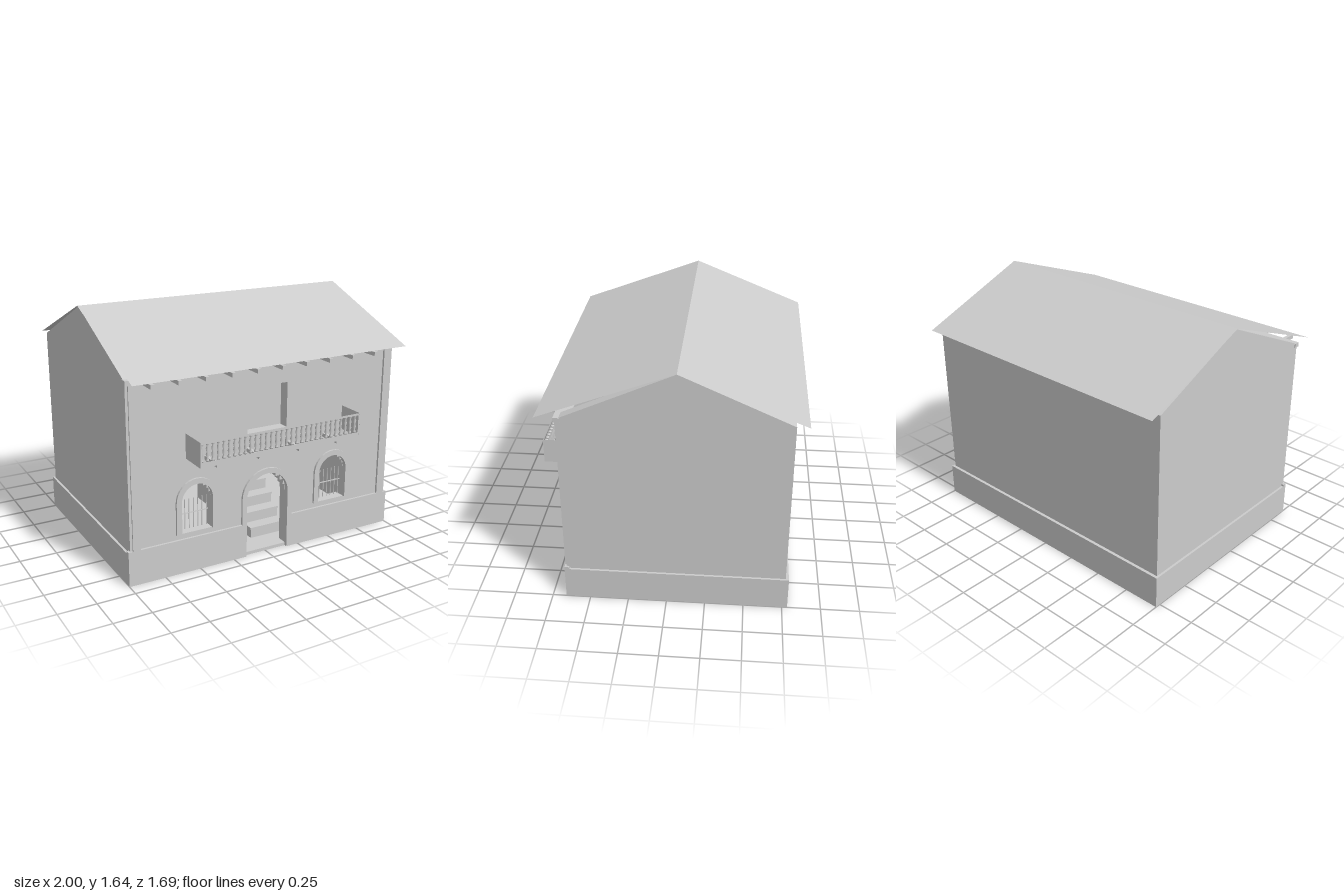
import * as THREE from 'three';

export function createModel() {
  const house = new THREE.Group();
  house.name = 'house';
  const plaster = new THREE.MeshStandardMaterial({ color: 0xcccccc });
  plaster.name = 'plainGrey';
  const sheet = new THREE.MeshStandardMaterial({ color: 0xcccccc, side: THREE.DoubleSide });
  sheet.name = 'plainGreySheet';

  const add = (name, geo, mat = plaster) => {
    const mesh = new THREE.Mesh(geo, mat);
    mesh.name = name;
    house.add(mesh);
    return mesh;
  };
  // Box given by its limits on each axis
  const box = (name, x0, x1, y0, y1, z0, z1) =>
    add(name, new THREE.BoxGeometry(x1 - x0, y1 - y0, z1 - z0)
      .translate((x0 + x1) / 2, (y0 + y1) / 2, (z0 + z1) / 2));
  const extrude = (name, shape, z0, z1) =>
    add(name, new THREE.ExtrudeGeometry(shape, { depth: z1 - z0, bevelEnabled: false }).translate(0, 0, z0));
  const v = (x, y) => new THREE.Vector2(x, y);

  // Arched outline from bottom left, over the top, to bottom right
  const arch = (cx, r, y0, spring) => {
    const pts = [v(cx - r, y0)];
    for (let i = 0; i <= 16; i++) {
      const a = Math.PI * (1 - i / 16);
      pts.push(v(cx + r * Math.cos(a), spring + r * Math.sin(a)));
    }
    pts.push(v(cx + r, y0));
    return pts;
  };
  // The same outline with a stepped head
  const steppedArch = (cx, r, y0, spring) => {
    const n = 6, right = [[r, y0], [r, spring]];
    for (let k = 1; k < n; k++) {
      const a = (Math.PI / 2) * k / n, low = (Math.PI / 2) * (k - 1) / n;
      right.push([r * Math.cos(a), spring + r * Math.sin(low)], [r * Math.cos(a), spring + r * Math.sin(a)]);
    }
    return [...right.map(([x, y]) => v(cx - x, y)), ...right.reverse().map(([x, y]) => v(cx + x, y))];
  };
  const rect = (x0, x1, y0, y1) => [v(x0, y0), v(x0, y1), v(x1, y1), v(x1, y0)];

  // Front wall: plain layer with round heads, inner layer with stepped heads
  const wall = (name, w, head, z0, z1) => {
    const shape = new THREE.Shape([v(-w, 0), ...head(0, 0.157, 0, 0.41), v(w, 0), v(w, 1.33), v(-w, 1.33)]);
    for (const cx of [-0.52, 0.52]) shape.holes.push(new THREE.Path(head(cx, 0.11, 0.27, 0.487)));
    shape.holes.push(new THREE.Path(rect(-0.15, 0.145, 0.86, 1.165)));
    extrude(name, shape, z0, z1);
  };
  wall('frontWall', 0.92, arch, 0.63, 0.645);
  wall('frontWallInner', 0.91, steppedArch, 0.565, 0.63);
  box('balconyDoorPanel', -0.18, 0.18, 0.83, 1.2, 0.55, 0.57);

  // Gable walls and back wall
  for (const s of [-1, 1]) {
    const shape = new THREE.Shape([v(0.63, 0), v(0.63, 1.33), v(-0.07, 1.64), v(-0.765, 1.33), v(-0.765, 0)]);
    const geo = new THREE.ExtrudeGeometry(shape, { depth: 0.07, bevelEnabled: false }).rotateY(-Math.PI / 2);
    add('gableWall', geo.translate(s > 0 ? 0.985 : -0.915, 0, 0));
  }
  box('backWall', -0.915, 0.915, 0, 1.33, -0.765, -0.695);
  const floor = new THREE.PlaneGeometry(1.83, 1.26).rotateX(-Math.PI / 2).translate(0, 0.012, -0.065);
  add('floor', floor, sheet);

  // Roof: two thin slopes
  const slope = (zEave) => {
    const geo = new THREE.PlaneGeometry(1.985, 1);
    const p = geo.attributes.position;
    for (let i = 0; i < p.count; i++) {
      const ridge = p.getY(i) > 0;
      // mirrored in x on the back so that both slopes face up
      p.setXYZ(i, p.getX(i) * Math.sign(zEave), ridge ? 1.645 : 1.33, ridge ? -0.07 : zEave);
    }
    geo.computeVertexNormals();
    add('roofSlope', geo, sheet);
  };
  slope(0.78);
  slope(-0.845);

  // Cornice and eave beams
  box('cornice', -0.99, 0.99, 1.3, 1.33, 0.625, 0.665);
  for (let i = 0; i < 10; i++) {
    const x = -0.866 + i * 0.179;
    box('eaveBeam', x - 0.012, x + 0.012, 1.293, 1.32, 0.63, 0.78);
  }

  // Corner pilasters and plinth
  for (const s of [-1, 1]) {
    const side = (name, a, b, ...rest) => box(name, Math.min(s * a, s * b), Math.max(s * a, s * b), ...rest);
    side('cornerPilaster', 0.915, 0.968, 0, 1.3, 0.625, 0.66);
    side('cornerReturn', 0.968, 0.985, 0, 1.3, 0.625, 0.65);
    side('frontPlinth', 0.19, 1, 0, 0.235, 0.63, 0.66);
    side('sidePlinth', 0.98, 1, 0, 0.22, -0.785, 0.63);
  }
  box('backPlinth', -0.98, 0.98, 0, 0.22, -0.785, -0.765);

  // Arched surrounds
  const surround = (name, cx, rOut, rIn, y0, spring) => {
    extrude(name, new THREE.Shape([...arch(cx, rOut, y0, spring), ...arch(cx, rIn, y0, spring).reverse()]), 0.635, 0.66);
  };
  surround('doorSurround', 0, 0.192, 0.157, 0, 0.41);
  for (const cx of [-0.52, 0.52]) {
    surround('windowSurround', cx, 0.147, 0.11, 0.27, 0.487);
    // Window grille
    for (let i = -3; i <= 3; i++) {
      add('windowBar', new THREE.CylinderGeometry(0.003, 0.003, 0.205, 6).translate(cx + i * 0.031, 0.378, 0.6));
    }
    box('grilleCrossbar', cx - 0.105, cx + 0.105, 0.382, 0.388, 0.597, 0.603);
  }

  // Open door leaf, threshold and inner stair
  box('doorLeaf', -0.15, -0.125, 0.01, 0.405, 0.4, 0.6);
  box('threshold', -0.157, 0.157, 0, 0.022, 0.57, 0.64);
  for (let i = 0; i < 10; i++) {
    const top = 0.022 + 0.078 * (i + 1), front = 0.47 - i * 0.08;
    box('stairStep', -0.012, 0.25, 0.02, top - 0.014, front - 0.08, front);
    box('stairTread', -0.02, 0.25, top - 0.014, top, front - 0.08, front + 0.01);
  }

  // Balcony: thin end panels, front rails and underside
  const plate = (name, w, h) => add(name, new THREE.PlaneGeometry(w, h), sheet);
  for (const x of [-0.592, 0.588]) {
    const panel = plate('balconyEnd', 0.195, 0.165);
    panel.rotation.y = Math.PI / 2;
    panel.position.set(x, 0.857, 0.742);
  }
  plate('balconyTopRail', 1.18, 0.014).position.set(-0.002, 0.933, 0.839);
  plate('balconyBottomRail', 1.18, 0.035).position.set(-0.002, 0.792, 0.839);
  for (const x of [-0.587, 0.583]) plate('balconyEndPost', 0.01, 0.165).position.set(x, 0.857, 0.839);
  add('balconyUnderside', new THREE.PlaneGeometry(1.19, 0.2).rotateX(Math.PI / 2).translate(-0.002, 0.773, 0.743));
  for (const x of [-0.45, -0.15, 0.148, 0.444]) box('balconyJoist', x - 0.012, x + 0.012, 0.745, 0.77, 0.63, 0.81);

  // Turned balusters
  const profile = [[0, 0], [0.011, 0], [0.011, 0.008], [0.005, 0.022], [0.011, 0.04], [0.006, 0.06],
    [0.011, 0.08], [0.005, 0.098], [0.011, 0.112], [0.011, 0.12], [0, 0.12]].map(([x, y]) => v(x, y));
  const baluster = new THREE.LatheGeometry(profile, 8);
  for (let i = 0; i < 31; i++) add('baluster', baluster).position.set(-0.573 + i * 0.0378, 0.807, 0.823);

  return house;
}
